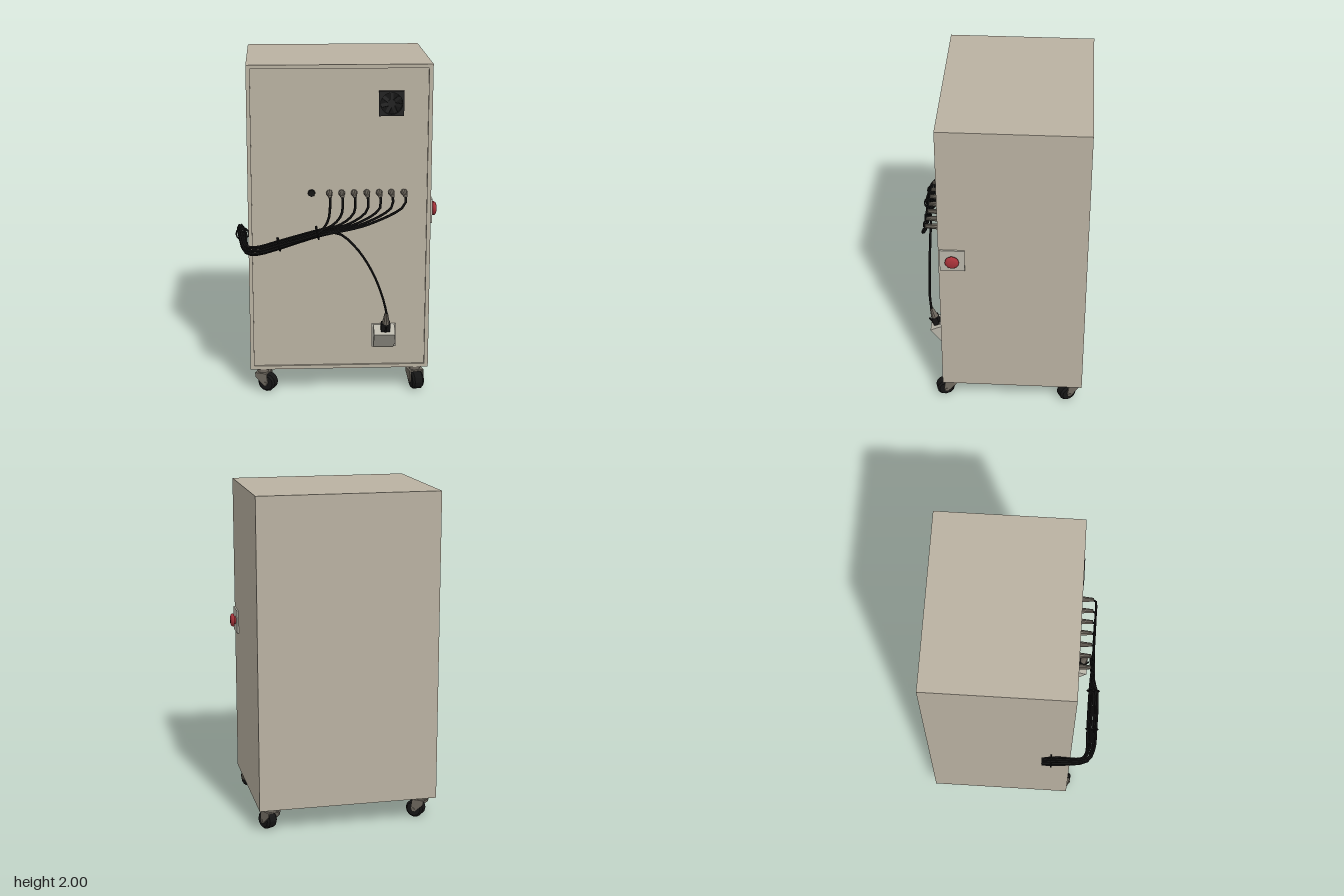
import * as THREE from 'three';

const mat = (name, color, extra = {}) => {
  const m = new THREE.MeshStandardMaterial({ color, ...extra });
  m.name = name;
  return m;
};
const V = (x, y, z) => new THREE.Vector3(x, y, z);

export function createModel() {
  const root = new THREE.Group();
  root.name = 'cabinet';
  const beige = mat('beige paint', 0xbab2a2);
  const plate = mat('pale plastic', 0xbab7ab);
  const taupe = mat('taupe metal', 0x706a60, { flatShading: true });
  const black = mat('black rubber', 0x151515, { flatShading: true });
  const charcoal = mat('charcoal plastic', 0x232323, { flatShading: true });
  const red = mat('red plastic', 0xa8333a);

  const add = (name, geo, material, pos = [0, 0, 0], parent = root) => {
    const m = new THREE.Mesh(geo, material);
    m.name = name;
    m.position.set(...pos);
    parent.add(m);
    return m;
  };
  const group = (name, pos) => {
    const g = new THREE.Group();
    g.name = name;
    g.position.set(...pos);
    root.add(g);
    return g;
  };
  const rect = (P, x0, y0, x1, y1) => {
    const p = new P();
    p.moveTo(x0, y0); p.lineTo(x1, y0); p.lineTo(x1, y1); p.lineTo(x0, y1); p.closePath();
    return p;
  };
  const extrude = (shape, depth) =>
    new THREE.ExtrudeGeometry(shape, { depth, bevelEnabled: false, curveSegments: 10 });
  // Cylinder whose axis runs along +z, starting at z = 0
  const zCyl = (rBack, rFront, len, sides) =>
    new THREE.CylinderGeometry(rFront, rBack, len, sides).translate(0, len / 2, 0).rotateX(Math.PI / 2);

  // Cabinet body with a raised frame around the recessed front panel
  add('body', new THREE.BoxGeometry(1.08, 1.86, 0.852), beige, [0.015, 1.07, -0.094]);
  const frame = rect(THREE.Shape, -0.525, 0.14, 0.555, 2);
  frame.holes.push(rect(THREE.Path, -0.502, 0.162, 0.531, 1.977));
  add('frontFrame', extrude(frame, 0.013), beige, [0, 0, 0.332]);

  // Ventilation fan
  const fan = group('fan', [0.315, 1.772, 0.332]);
  const fanShape = rect(THREE.Shape, -0.073, -0.073, 0.073, 0.073);
  fanShape.holes.push(new THREE.Path().absarc(0, 0, 0.064, 0, Math.PI * 2, true));
  add('fanFrame', extrude(fanShape, 0.02), charcoal, [0, 0, 0], fan);
  add('fanBack', new THREE.CircleGeometry(0.066, 20), black, [0, 0, 0.002], fan);
  add('fanHub', zCyl(0.024, 0.024, 0.016, 14), charcoal, [0, 0, 0], fan);
  for (let i = 0; i < 7; i++) {
    const blade = add('fanBlade', new THREE.BoxGeometry(0.022, 0.042, 0.004).rotateY(0.4).translate(0, 0.041, 0.009),
      charcoal, [0, 0, 0], fan);
    blade.rotation.z = (i / 7) * Math.PI * 2;
  }

  // Row of sockets: the first is empty, the others hold tapered plugs
  add('emptySocket', zCyl(0.023, 0.02, 0.014, 8), black, [-0.15, 1.24, 0.332]);
  const plugX = [-0.045, 0.027, 0.1, 0.175, 0.248, 0.32, 0.395];
  plugX.forEach((x) => {
    add('plugCollar', zCyl(0.02, 0.02, 0.012, 10), taupe, [x, 1.24, 0.332]);
    add('plug', zCyl(0.019, 0.011, 0.09, 10), taupe, [x, 1.24, 0.344]);
  });

  // Cables gather into a bundle that wraps round the side
  const cable = (name, pts) =>
    add(name, new THREE.TubeGeometry(new THREE.CatmullRomCurve3(pts, false, 'centripetal'), 30, 0.0075, 6), black);
  const bundle = (i) => {
    const a = i * 0.785 + 0.3;
    const oy = Math.sin(a) * 0.022, oz = Math.cos(a) * 0.023;
    return [
      V(-0.12, 1.03 + oy * 0.8, 0.462 + oz), V(-0.34, 0.966 + oy, 0.466 + oz * 1.2),
      V(-0.47, 0.93 + oy, 0.464 + oz), V(-0.528 - oz * 0.4, 0.925 + oy, 0.436 + oz * 0.6),
      V(-0.562 - oz * 0.9, 0.965 + oy * 1.3, 0.235), V(-0.575 - oz * 0.7, 0.985 + oy, 0.17),
    ];
  };
  plugX.forEach((x, i) => {
    const t = i / 6;
    cable('cable', [
      V(x, 1.24, 0.425), V(x, 1.236, 0.44), V(x - 0.006, 1.13 + 0.06 * t, 0.45),
      V(-0.07 + 0.25 * t, 1.078, 0.45), ...bundle(i),
    ]);
  });
  cable('powerCable', [
    V(0.293, 0.51, 0.43), V(0.273, 0.6, 0.44), V(0.21, 0.77, 0.442), V(0.11, 0.93, 0.443), V(0, 1.025, 0.447),
    ...bundle(7),
  ]);

  // Ties around the bundle
  const tie = (pos, yaw, tilt) => {
    const g = group('cableTie', pos);
    g.rotation.set(0, yaw, tilt);
    add('tieBand', new THREE.TorusGeometry(0.037, 0.005, 5, 12).rotateY(Math.PI / 2), black, [0, 0, 0], g);
    add('tieHead', new THREE.BoxGeometry(0.014, 0.014, 0.014), black, [0, 0.038, 0], g);
  };
  tie([-0.345, 0.965, 0.467], 0, 0.2);
  tie([-0.12, 1.03, 0.462], 0, 0.2);
  tie([-0.563, 0.967, 0.228], Math.PI / 2, 0);

  // Power inlet: wedge-shaped housing with an angled plug
  add('inletPlate', new THREE.BoxGeometry(0.145, 0.142, 0.015), plate, [0.282, 0.351, 0.341]);
  const wedge = new THREE.Shape();
  wedge.moveTo(0.34, 0.283); wedge.lineTo(0.362, 0.283); wedge.lineTo(0.436, 0.384);
  wedge.lineTo(0.36, 0.42); wedge.lineTo(0.34, 0.42); wedge.closePath();
  add('inletHousing', extrude(wedge, 0.126).rotateY(-Math.PI / 2), plate, [0.345, 0, 0]);
  const power = group('powerPlug', [0.288, 0.4, 0.398]);
  power.rotation.x = 0.27;
  add('plugBody', new THREE.BoxGeometry(0.055, 0.055, 0.036), black, [0, 0.028, 0], power);
  add('plugNeck', new THREE.CylinderGeometry(0.011, 0.024, 0.07, 10), taupe, [0.002, 0.088, 0], power);
  add('plugClip', new THREE.BoxGeometry(0.012, 0.045, 0.006), black, [0, 0.025, 0.03], power).rotation.x = 0.3;

  // Emergency stop on the side
  add('stopPlate', new THREE.BoxGeometry(0.01, 0.145, 0.145), plate, [0.56, 1.122, 0.264]);
  const knob = [[0.026, 0], [0.026, 0.008], [0.041, 0.012], [0.041, 0.02], [0.034, 0.028], [0.02, 0.033], [0, 0.034]];
  add('stopButton', new THREE.LatheGeometry(knob.map((p) => new THREE.Vector2(...p)), 20).rotateZ(-Math.PI / 2),
    red, [0.564, 1.122, 0.264]);

  // Swivel castors
  const tyre = [[0, -0.036], [0.043, -0.036], [0.055, -0.024], [0.055, 0.024], [0.043, 0.036], [0, 0.036]];
  const fork = new THREE.Shape();
  fork.moveTo(-0.034, 0.115); fork.lineTo(-0.03, 0.09); fork.lineTo(0.022, 0.04);
  fork.lineTo(0.04, 0.04); fork.lineTo(0.048, 0.06); fork.lineTo(0.04, 0.115); fork.closePath();
  const castor = (x, z, yaw) => {
    const g = group('castor', [x, 0, z]);
    g.rotation.y = yaw;
    add('castorStem', new THREE.CylinderGeometry(0.034, 0.034, 0.026, 12), taupe, [0, 0.128, 0], g);
    add('castorTop', new THREE.BoxGeometry(0.09, 0.008, 0.074), taupe, [0, 0.114, 0.003], g);
    for (const s of [-1, 1])
      add('castorFork', extrude(fork, 0.007).rotateY(-Math.PI / 2), taupe, [s * 0.041 + 0.0035, 0, 0], g);
    add('castorWheel', new THREE.LatheGeometry(tyre.map((p) => new THREE.Vector2(...p)), 12).rotateZ(Math.PI / 2),
      black, [0, 0.055, 0.033], g);
    add('castorAxle', new THREE.CylinderGeometry(0.01, 0.01, 0.096, 8).rotateZ(Math.PI / 2), taupe, [0, 0.055, 0.033], g);
  };
  castor(-0.45, 0.31, 1.15);
  castor(0.477, 0.305, 0.25);
  castor(-0.45, -0.45, 0.9);
  castor(0.477, -0.455, 0.5);

  return root;
}
